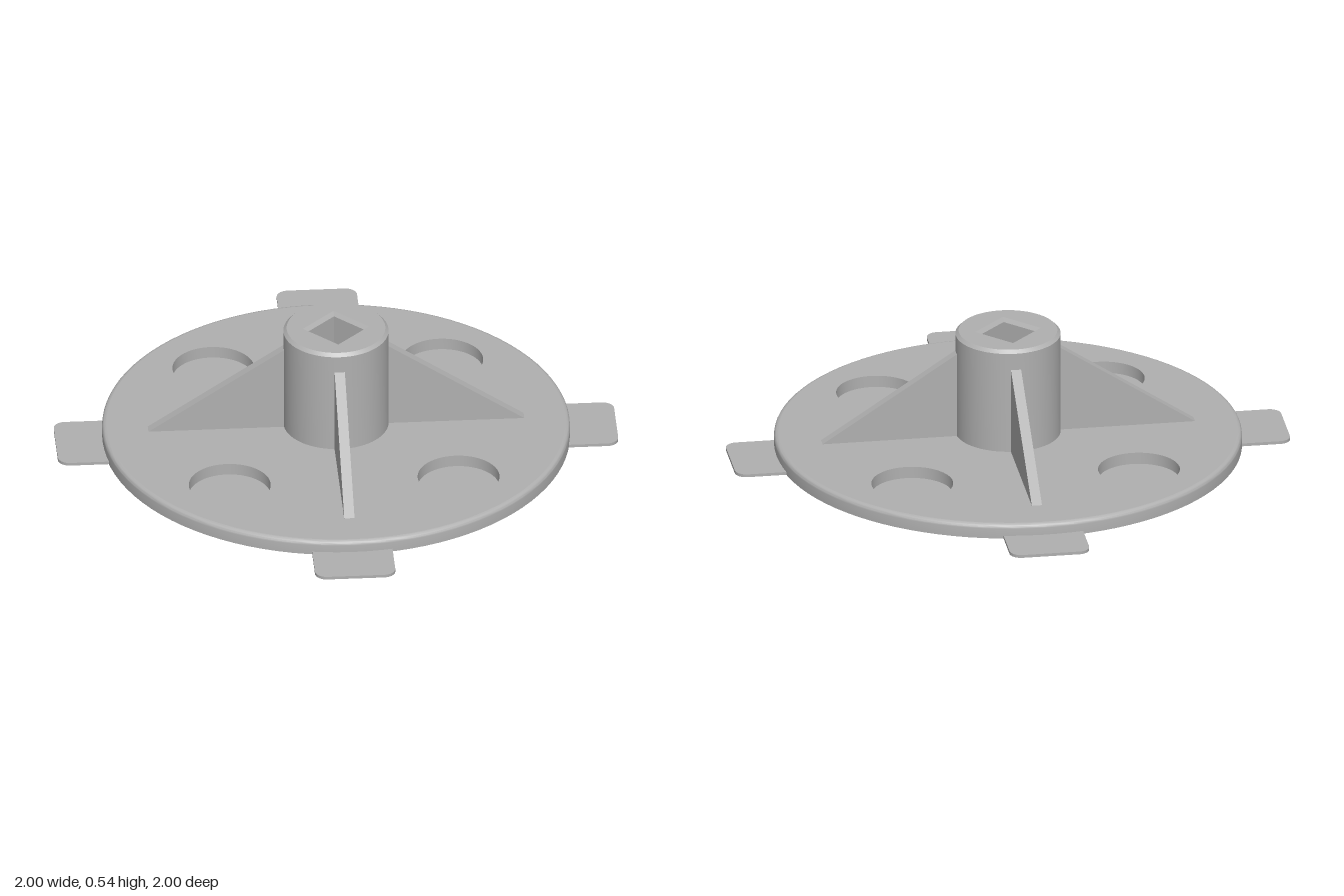
import * as THREE from 'three';
import { toCreasedNormals } from 'three/addons/utils/BufferGeometryUtils.js';

const V = (x, y) => new THREE.Vector2(x, y);
const SHEET = 0.013;   // thickness of the tabs and of the pocket floors
const TOP = 0.065;     // top of the disc
const HUB = 0.535;     // top of the hub

export function createModel() {
  const grey = new THREE.MeshStandardMaterial({ color: 0xb0b0b0 });
  grey.name = 'grey';
  const group = new THREE.Group();
  const add = (name, geometry, angle = 0) => {
    const mesh = new THREE.Mesh(geometry, grey);
    mesh.name = name;
    mesh.rotation.y = angle;
    group.add(mesh);
    return mesh;
  };
  const lathe = (points, segments = 96) =>
    toCreasedNormals(new THREE.LatheGeometry(points, segments), 0.5);
  // Extrude a plan outline upwards from y = 0
  const slab = (shape, depth) => toCreasedNormals(
    new THREE.ExtrudeGeometry(shape, { depth, bevelEnabled: false, curveSegments: 48 })
      .rotateX(-Math.PI / 2), 0.5);

  // Base sheet with the rounded rim of the disc
  const rim = [V(0, 0), V(1, 0)];
  for (let i = 0; i <= 5; i++) {
    const a = (i / 5) * Math.PI / 2;
    rim.push(V(0.98 + 0.02 * Math.cos(a), TOP - 0.02 + 0.02 * Math.sin(a)));
  }
  rim.push(V(0.98, SHEET), V(0, SHEET));
  add('discRim', lathe(rim));

  // Disc body with four round pockets
  const plate = new THREE.Shape().absarc(0, 0, 0.98, 0, Math.PI * 2, false);
  for (let i = 0; i < 4; i++) {
    const a = i * Math.PI / 2;
    plate.holes.push(new THREE.Path().absarc(
      0.693 * Math.cos(a), 0.693 * Math.sin(a), 0.175, 0, Math.PI * 2, true));
  }
  add('discPlate', slab(plate, TOP - SHEET)).position.y = SHEET;

  // Hub wall with its chamfered top edge
  add('hubWall', lathe([V(0.225, TOP - 0.02), V(0.225, HUB - 0.014), V(0.211, HUB)], 64));

  // Hub top face around the square opening
  const face = new THREE.Shape().absarc(0, 0, 0.211, 0, Math.PI * 2, false);
  const s = 0.1;
  face.holes.push(new THREE.Path([V(-s, -s), V(-s, s), V(s, s), V(s, -s)]));
  add('hubTop', new THREE.ShapeGeometry(face, 32).rotateX(-Math.PI / 2)).position.y = HUB;

  // Square drive socket, a four-sided lathe that faces inwards
  const d = Math.SQRT2;
  const socket = new THREE.LatheGeometry(
    [V(0.1 * d, HUB), V(0.086 * d, HUB - 0.016), V(0.086 * d, 0.28), V(0, 0.28)],
    4, Math.PI / 4).toNonIndexed();
  socket.computeVertexNormals();
  add('driveSocket', socket);

  // Triangular ribs and rounded tabs on the diagonals
  const ribShape = new THREE.Shape([
    V(0.18, TOP - 0.01), V(0.805, TOP - 0.01), V(0.805, TOP), V(0.222, 0.447), V(0.18, 0.447)]);
  const rib = new THREE.ExtrudeGeometry(ribShape, { depth: 0.044, bevelEnabled: false })
    .translate(0, 0, -0.022);

  const w = 0.172, end = 1.2, r = 0.05;
  const tabShape = new THREE.Shape();
  tabShape.moveTo(0.94, -w);
  tabShape.lineTo(end - r, -w);
  tabShape.absarc(end - r, -w + r, r, -Math.PI / 2, 0, false);
  tabShape.absarc(end - r, w - r, r, 0, Math.PI / 2, false);
  tabShape.lineTo(0.94, w);
  const tab = slab(tabShape, SHEET);

  for (let i = 0; i < 4; i++) {
    const angle = Math.PI / 4 + i * Math.PI / 2;
    add('rib', rib, angle);
    add('tab', tab, angle);
  }
  return group;
}
